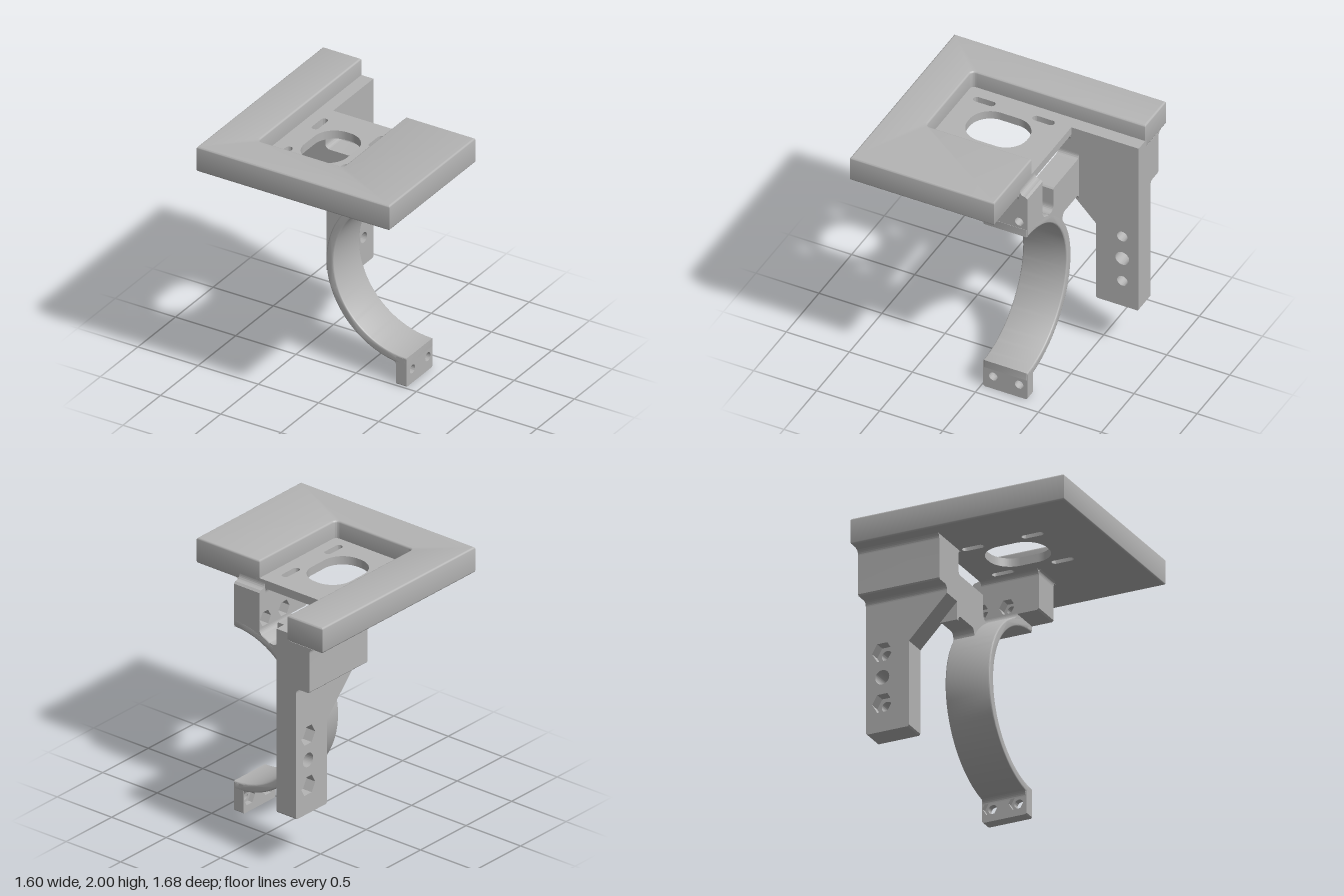
import * as THREE from 'three';
import { toCreasedNormals } from 'three/addons/utils/BufferGeometryUtils.js';

export function createModel() {
  const group = new THREE.Group();
  const grey = new THREE.MeshStandardMaterial({ color: 0xb4b4b4 });
  grey.name = 'grey plastic';

  // ---- helpers ----
  const poly = (pts) => new THREE.Shape(pts.map(([a, b]) => new THREE.Vector2(a, b)));
  const circle = (x, y, r) => new THREE.Path().absarc(x, y, r, 0, Math.PI * 2, true);
  const hex = (x, y, r) => new THREE.Path(Array.from({ length: 6 }, (_, i) =>
    new THREE.Vector2(x + r * Math.cos(i * Math.PI / 3), y + r * Math.sin(i * Math.PI / 3))));
  function roundRect(x0, x1, y0, y1, r) {
    const p = new THREE.Path();
    p.absarc(x1 - r, y1 - r, r, 0, Math.PI / 2);
    p.absarc(x0 + r, y1 - r, r, Math.PI / 2, Math.PI);
    p.absarc(x0 + r, y0 + r, r, Math.PI, Math.PI * 1.5);
    p.absarc(x1 - r, y0 + r, r, Math.PI * 1.5, Math.PI * 2);
    p.closePath();
    return p;
  }
  function withHoles(shape, holes) {
    shape.holes.push(...holes);
    return shape;
  }
  // Extrude along an axis from a to b. Shape axes: z -> (x, y), x -> (-z, y), y -> (x, z)
  function extrude(name, shape, axis, a, b, bevel = 0) {
    let geo = new THREE.ExtrudeGeometry(shape, {
      depth: b - a - 2 * bevel, curveSegments: 40, bevelEnabled: bevel > 0,
      bevelThickness: bevel, bevelSize: bevel, bevelOffset: -bevel, bevelSegments: 3,
    });
    geo.translate(0, 0, bevel);
    if (axis === 'z') geo.translate(0, 0, a);
    if (axis === 'x') geo.rotateY(Math.PI / 2).translate(a, 0, 0);
    if (axis === 'y') geo.rotateX(Math.PI / 2).translate(0, b, 0);
    geo = toCreasedNormals(geo, 0.6);
    const mesh = new THREE.Mesh(geo, grey);
    mesh.name = name;
    group.add(mesh);
  }
  // Concave fillet under a ceiling at (x, y), reaching sideways by s
  function fillet(name, x, y, s, z0, z1) {
    const f = new THREE.Shape();
    f.moveTo(x, y);
    f.lineTo(x + s, y);
    f.quadraticCurveTo(x, y, x, y - Math.abs(s));
    extrude(name, f, 'z', z0, z1);
  }

  // ---- top plate with an open pocket ----
  const plate = new THREE.Shape();
  plate.moveTo(-0.8, -0.84);
  plate.lineTo(-0.48, -0.84);
  plate.lineTo(-0.48, 0.495);
  plate.quadraticCurveTo(-0.48, 0.535, -0.44, 0.535);
  plate.lineTo(0.185, 0.535);
  plate.quadraticCurveTo(0.225, 0.535, 0.225, 0.495);
  plate.lineTo(0.225, -0.305);
  plate.lineTo(0.8, -0.305);
  plate.lineTo(0.8, 0.84);
  plate.lineTo(-0.8, 0.84);
  extrude('topPlate', plate, 'y', 1.8, 2, 0.014);

  // ---- pocket floor with window and four slots ----
  const slots = [];
  for (const x of [-0.36, 0.112])
    for (const [z0, z1] of [[-0.18, -0.01], [0.29, 0.46]])
      slots.push(roundRect(x - 0.027, x + 0.027, z0, z1, 0.0269));
  const floor = poly([[-0.51, -0.305], [0.255, -0.305], [0.255, 0.565], [-0.51, 0.565]]);
  extrude('pocketFloor', withHoles(floor, [roundRect(-0.3, 0.055, -0.095, 0.375, 0.165), ...slots]),
    'y', 1.8, 1.865);

  // ---- leg: strip beside the plate, wide shoulder, drilled blade ----
  extrude('legTop', poly([[-0.5, 1.78], [-0.38, 1.78], [-0.38, 1.865], [-0.5, 1.865]]), 'z', -0.84, -0.3);
  const shoulder = new THREE.Shape();
  shoulder.moveTo(-0.725, 1.805);
  shoulder.quadraticCurveTo(-0.682, 1.805, -0.682, 1.76);
  shoulder.lineTo(-0.682, 1.46);
  shoulder.lineTo(-0.672, 1.45);
  shoulder.lineTo(-0.595, 1.45);
  shoulder.quadraticCurveTo(-0.56, 1.45, -0.56, 1.41);
  shoulder.lineTo(-0.38, 1.41);
  shoulder.lineTo(-0.38, 1.805);
  extrude('legShoulder', shoulder, 'z', -0.84, -0.2);
  fillet('shoulderFillet', -0.38, 1.8, 0.045, -0.3, -0.2);

  const blade = () => poly([[0.5, 0.43], [0.51, 0.418], [0.83, 0.418], [0.84, 0.43], [0.84, 1.79],
    [0.2, 1.79], [0.2, 1.39], [0.5, 1.08]]);
  const bore = circle(0.71, 0.84, 0.055);
  extrude('legBlade', withHoles(blade(), [bore, circle(0.71, 1.035, 0.042), circle(0.71, 0.64, 0.042)]),
    'x', -0.48, -0.38);
  extrude('legNutSide', withHoles(blade(), [bore, hex(0.71, 1.035, 0.08), hex(0.71, 0.64, 0.08)]),
    'x', -0.56, -0.48);

  // ---- half ring clamp ----
  const cx = 0.41, cy = 0.84;
  const ring = new THREE.Shape();
  ring.absarc(cx, cy, 0.67, Math.PI / 2, Math.PI * 1.5, false);
  ring.absarc(cx, cy, 0.607, Math.PI * 1.5, Math.PI / 2, true);
  extrude('clampRing', ring, 'z', -0.365, -0.015, 0.01);

  // ---- bar joining leg and ring ----
  const bar = new THREE.Shape();
  bar.moveTo(-0.4, 1.25);
  bar.lineTo(-0.38, 1.25);
  bar.quadraticCurveTo(-0.38, 1.29, -0.34, 1.29);
  bar.lineTo(-0.17, 1.29);
  bar.quadraticCurveTo(-0.13, 1.29, -0.13, 1.23);
  bar.lineTo(-0.09, 1.24);
  bar.lineTo(0.09, 1.39);
  bar.lineTo(0.08, 1.425);
  bar.quadraticCurveTo(0.01, 1.4, 0.01, 1.47);
  bar.lineTo(0.01, 1.6);
  bar.lineTo(0, 1.61);
  bar.lineTo(-0.34, 1.61);
  bar.quadraticCurveTo(-0.38, 1.61, -0.38, 1.65);
  bar.lineTo(-0.4, 1.65);
  extrude('joiningBar', bar, 'z', -0.365, -0.2);

  // ---- upper clamp block: screw holes outside, nut pockets inside ----
  function block() {
    const s = new THREE.Shape();
    s.moveTo(-0.195, 1.805);
    s.quadraticCurveTo(-0.155, 1.805, -0.155, 1.76);
    s.lineTo(-0.155, 1.505);
    s.lineTo(-0.143, 1.493);
    s.lineTo(0.365, 1.493);
    s.lineTo(0.365, 1.785);
    s.lineTo(0.35, 1.8);
    s.quadraticCurveTo(0.305, 1.8, 0.305, 1.845);
    s.lineTo(0.29, 1.845);
    s.lineTo(0.29, 1.805);
    return s;
  }
  const pair = (make, y, r) => [0.095, 0.3].map((u) => make(u, y, r));
  extrude('clampBlock', withHoles(block(), pair(circle, 1.565, 0.034)), 'x', 0.25, 0.408);
  extrude('clampBlockNutSide', withHoles(block(), pair(hex, 1.565, 0.062)), 'x', 0.175, 0.25);
  fillet('blockFilletInner', 0.175, 1.8, -0.04, -0.3, 0.155);
  fillet('blockFilletOuter', 0.408, 1.8, 0.04, -0.3, 0.155);

  // blend between block and ring
  const blend = new THREE.Shape();
  blend.moveTo(0.08, 1.42);
  blend.quadraticCurveTo(0.175, 1.45, 0.175, 1.5);
  blend.lineTo(0.408, 1.5);
  blend.lineTo(0.408, 1.46);
  blend.lineTo(0.25, 1.445);
  extrude('ringBlend', blend, 'z', -0.365, -0.015);

  // ---- lower clamp tab ----
  const tab = () => poly([[0.015, 0.01], [0.025, 0], [0.355, 0], [0.365, 0.01],
    [0.365, 0.225], [0.355, 0.233], [0.025, 0.233], [0.015, 0.225]]);
  extrude('clampTab', withHoles(tab(), pair(circle, 0.11, 0.034)), 'x', 0.36, 0.408);
  extrude('clampTabNutSide', withHoles(tab(), pair(hex, 0.11, 0.062)), 'x', 0.32, 0.36);
  fillet('tabFillet', 0.32, 0.185, -0.045, -0.36, -0.02);

  return group;
}
